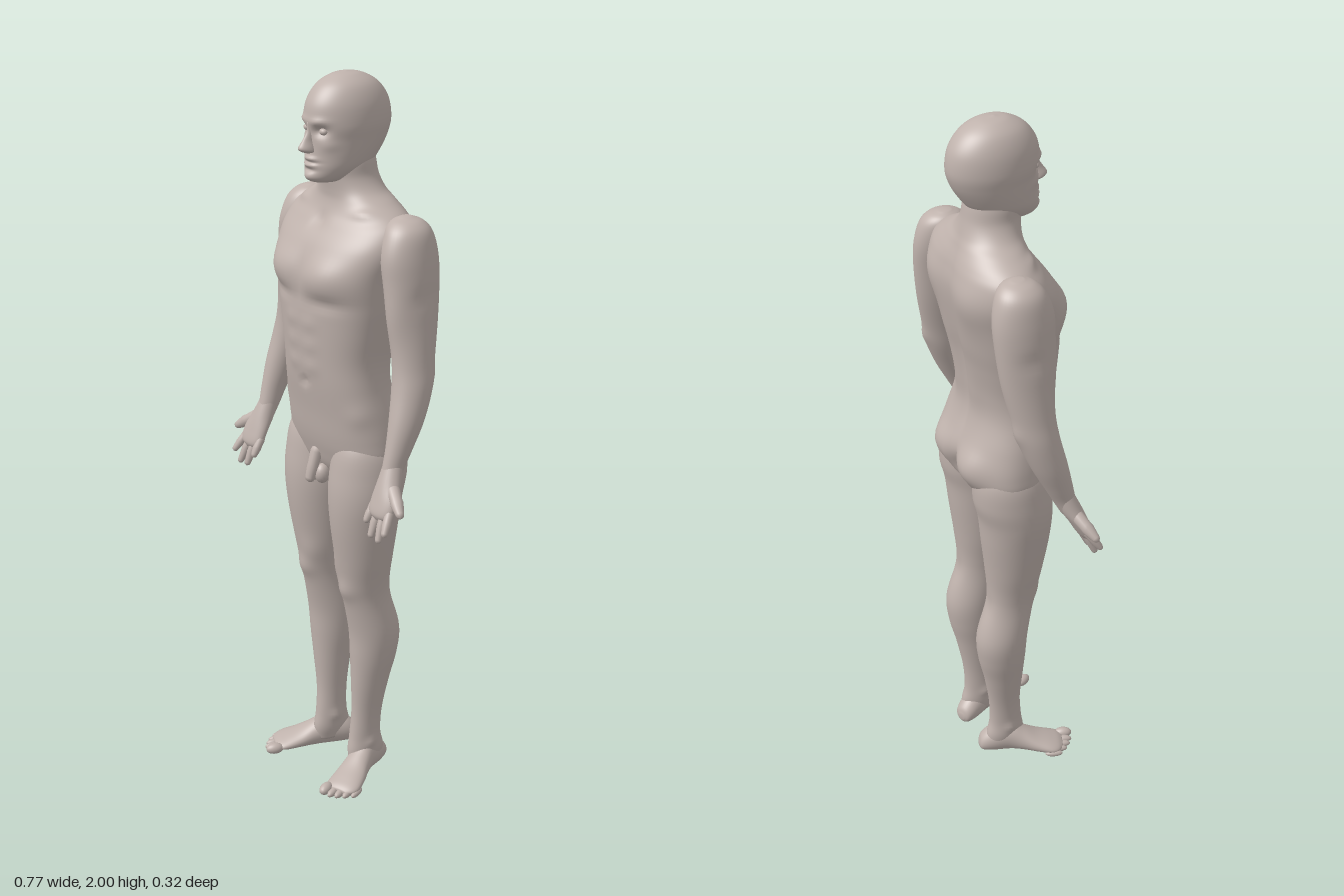
import * as THREE from 'three';

const skin = new THREE.MeshStandardMaterial({ color: 0xbfb2ac });
skin.name = 'skin';

// Closed body through horizontal rings: [y, centreX, halfWidth, frontZ, backZ, squareness]
function loft(rings, rows = 60, seg = 40) {
  const r = [...rings].sort((p, q) => p[0] - q[0]);
  const A = new THREE.CatmullRomCurve3(r.map(p => new THREE.Vector3(p[0], p[1], p[2])), false, 'catmullrom', 0.5);
  const B = new THREE.CatmullRomCurve3(r.map(p => new THREE.Vector3(p[3], p[4], p[5] || 2)), false, 'catmullrom', 0.5);
  const pos = [], idx = [];
  const bend = (v, n) => Math.sign(v) * Math.abs(v) ** (2 / n);
  for (let i = 0; i <= rows; i++) {
    const a = A.getPoint(i / rows), b = B.getPoint(i / rows);
    for (let j = 0; j < seg; j++) {
      const t = j / seg * Math.PI * 2;
      pos.push(a.y + a.z * bend(Math.cos(t), b.z), a.x, (b.x + b.y) / 2 + (b.x - b.y) / 2 * bend(Math.sin(t), b.z));
      if (i < rows) {
        const p = i * seg + j, q = i * seg + (j + 1) % seg;
        idx.push(p, p + seg, q, q, p + seg, q + seg);
      }
    }
  }
  // end caps
  const low = pos.length / 3, top = rows * seg;
  for (const e of [r[0], r[r.length - 1]]) pos.push(e[1], e[0], (e[3] + e[4]) / 2);
  for (let j = 0; j < seg; j++) {
    const k = (j + 1) % seg;
    idx.push(low, j, k, low + 1, top + k, top + j);
  }
  const g = new THREE.BufferGeometry();
  g.setAttribute('position', new THREE.Float32BufferAttribute(pos, 3));
  g.setIndex(idx);
  g.computeVertexNormals();
  return g;
}

// Soft bumps pushed along the normals: [x, y, z, radius, radiusY, amount], optionally mirrored in x
function sculpt(g, bumps, mirror = false) {
  const p = g.attributes.position, n = g.attributes.normal;
  const all = bumps.flatMap(b => (mirror && b[0] ? [b, [-b[0], ...b.slice(1)]] : [b]));
  for (let i = 0; i < p.count; i++) {
    let d = 0;
    for (const [x, y, z, r, ry, amt] of all) {
      const q = ((p.getX(i) - x) / r) ** 2 + ((p.getY(i) - y) / ry) ** 2 + ((p.getZ(i) - z) / (r * 1.5)) ** 2;
      d += amt * Math.exp(-q);
    }
    p.setXYZ(i, p.getX(i) + n.getX(i) * d, p.getY(i) + n.getY(i) * d, p.getZ(i) + n.getZ(i) * d);
  }
  g.computeVertexNormals();
  return g;
}

function add(parent, name, geo) {
  const m = new THREE.Mesh(geo, skin);
  m.name = name;
  parent.add(m);
  return m;
}

function ball(parent, name, x, y, z, rx, ry, rz) {
  const m = add(parent, name, new THREE.SphereGeometry(1, 18, 12));
  m.position.set(x, y, z);
  m.scale.set(rx, ry, rz);
  return m;
}

// Tapered rounded finger from a to b
function finger(parent, name, a, b, ra, rb) {
  const from = new THREE.Vector3(...a), dir = new THREE.Vector3(...b).sub(from), len = dir.length();
  const prof = [[0, -ra], [ra * 0.8, -ra * 0.6], [ra, 0], [ra * 0.92, len * 0.4], [ra * 0.97, len * 0.5],
    [rb, len - rb], [rb * 0.75, len - rb * 0.35], [0, len]];
  const m = add(parent, name, new THREE.LatheGeometry(prof.map(p => new THREE.Vector2(...p)), 14));
  m.position.copy(from);
  m.quaternion.setFromUnitVectors(new THREE.Vector3(0, 1, 0), dir.normalize());
}

function makeArm() {
  const g = new THREE.Group();
  add(g, 'arm', sculpt(loft([
    [1.665, 0.2, 0.012, -0.045, -0.075], [1.652, 0.205, 0.04, -0.015, -0.105], [1.625, 0.213, 0.055, 0.008, -0.125],
    [1.57, 0.222, 0.058, 0.025, -0.137], [1.5, 0.232, 0.054, 0.024, -0.136], [1.4, 0.243, 0.05, 0.017, -0.125],
    [1.3, 0.258, 0.047, 0.014, -0.105], [1.23, 0.269, 0.048, 0.022, -0.09], [1.15, 0.28, 0.041, 0.04, -0.058],
    [1.08, 0.284, 0.031, 0.055, -0.022], [1.03, 0.284, 0.026, 0.066, 0.004], [0.99, 0.288, 0.026, 0.075, 0.025]]),
  [[0.25, 1.42, 0.02, 0.035, 0.06, 0.005], [0.27, 1.26, -0.09, 0.02, 0.025, 0.005], [0.3, 1.47, -0.06, 0.03, 0.025, -0.005]]));
  add(g, 'palm', loft([
    [1.05, 0.283, 0.024, 0.058, 0.006], [1.0, 0.29, 0.034, 0.08, 0.022], [0.96, 0.297, 0.044, 0.095, 0.045],
    [0.925, 0.298, 0.043, 0.105, 0.064], [0.908, 0.297, 0.03, 0.1, 0.075]], 20, 28));
  const tips = [[0.35, 0.88, 0.115], [0.323, 0.852, 0.113], [0.289, 0.855, 0.112], [0.262, 0.887, 0.108]];
  tips.forEach((t, i) => finger(g, 'finger', [0.33 - i * 0.022, 0.935, 0.08], t, 0.0125, 0.009));
  finger(g, 'thumb', [0.315, 0.985, 0.058], [0.383, 0.938, 0.085], 0.018, 0.011);
  return g;
}

function makeLeg() {
  const g = new THREE.Group();
  add(g, 'leg', sculpt(loft([
    [1.1, 0.09, 0.05, 0.03, -0.08], [1.03, 0.1, 0.088, 0.07, -0.125], [0.95, 0.102, 0.098, 0.085, -0.13],
    [0.88, 0.102, 0.097, 0.09, -0.115], [0.8, 0.1, 0.088, 0.085, -0.107], [0.7, 0.097, 0.075, 0.07, -0.096],
    [0.62, 0.095, 0.062, 0.056, -0.09], [0.56, 0.095, 0.058, 0.044, -0.097], [0.46, 0.097, 0.065, 0.025, -0.123],
    [0.38, 0.095, 0.06, 0.02, -0.118], [0.3, 0.091, 0.048, 0.016, -0.1], [0.2, 0.085, 0.036, 0.012, -0.083],
    [0.12, 0.082, 0.034, 0.018, -0.08], [0.07, 0.083, 0.035, 0.025, -0.09], [0.03, 0.084, 0.028, 0.02, -0.09]], 80),
  [[0.095, 0.6, 0.055, 0.03, 0.03, 0.008], [0.06, 0.66, 0.05, 0.025, 0.04, 0.005], [0.095, 0.57, -0.1, 0.02, 0.04, -0.006],
    [0.12, 0.1, -0.03, 0.012, 0.014, 0.006], [0.048, 0.11, -0.025, 0.012, 0.014, 0.006]]));
  // foot, turned outwards from the ankle
  const foot = new THREE.Group();
  foot.name = 'foot';
  foot.position.set(0.085, 0, -0.04);
  foot.rotation.y = 0.38;
  g.add(foot);
  add(foot, 'footBody', loft([
    [-0.072, 0, 0.01, -0.018, -0.038], [-0.062, 0, 0.026, -0.004, -0.06], [-0.03, 0, 0.034, 0, -0.085],
    [0.02, 0, 0.034, 0, -0.096], [0.06, 0.003, 0.038, 0, -0.076], [0.1, 0.007, 0.045, 0, -0.055],
    [0.14, 0.01, 0.049, 0, -0.04], [0.162, 0.008, 0.044, -0.003, -0.031], [0.176, 0.004, 0.03, -0.008, -0.022]], 40, 32)
    .rotateX(Math.PI / 2));
  for (let i = 0; i < 5; i++) {
    const r = i ? 0.0115 - i * 0.0005 : 0.016;
    ball(foot, 'toe', -0.026 + i * 0.019 + (i ? 0.003 : 0), r, 0.182 - i * i * 0.0022, r, r, 0.026);
  }
  return g;
}

export function createModel() {
  const model = new THREE.Group();
  model.name = 'figure';

  const torso = loft([
    [0.9, 0, 0.09, 0.02, -0.06], [0.95, 0, 0.155, 0.06, -0.11, 2.2], [1.0, 0, 0.188, 0.078, -0.135, 2.3],
    [1.05, 0, 0.19, 0.09, -0.142, 2.3], [1.12, 0, 0.182, 0.1, -0.127, 2.3], [1.2, 0, 0.169, 0.113, -0.105, 2.3],
    [1.27, 0, 0.166, 0.12, -0.108, 2.3], [1.35, 0, 0.178, 0.125, -0.122, 2.3], [1.42, 0, 0.19, 0.128, -0.138, 2.3],
    [1.5, 0, 0.2, 0.13, -0.15, 2.4], [1.57, 0, 0.215, 0.103, -0.155, 2.4], [1.62, 0, 0.213, 0.07, -0.15, 2.2],
    [1.65, 0, 0.19, 0.05, -0.143], [1.68, 0, 0.14, 0.04, -0.13], [1.705, 0, 0.1, 0.04, -0.118],
    [1.74, 0, 0.076, 0.045, -0.107], [1.78, 0, 0.07, 0.05, -0.1], [1.82, 0, 0.06, 0.04, -0.09]], 110, 72);
  const bumps = [
    [0.09, 1.5, 0.13, 0.065, 0.05, 0.014], [0.09, 1.435, 0.12, 0.06, 0.018, -0.007], [0, 1.5, 0.13, 0.018, 0.06, -0.01],
    [0.08, 1.05, -0.14, 0.055, 0.055, 0.022], [0, 1.0, -0.14, 0.018, 0.06, -0.03], [0, 1.2, 0.115, 0.012, 0.012, -0.01],
    [0.1, 1.56, -0.15, 0.06, 0.07, 0.012], [0.04, 1.25, -0.1, 0.03, 0.1, 0.006], [0.13, 1.66, 0.03, 0.03, 0.012, 0.006],
    [0, 1.63, 0.07, 0.02, 0.02, -0.008], [0.16, 1.13, 0.06, 0.03, 0.03, 0.004]];
  for (let y = 1.16; y < 1.68; y += 0.08) bumps.push([0, y, -0.13, 0.024, 0.06, -0.01]);
  for (let y = 1.25; y < 1.42; y += 0.06) bumps.push([0.035, y, 0.12, 0.025, 0.022, 0.004]);
  add(model, 'torso', sculpt(torso, bumps, true));

  const head = loft([
    [2.0, 0, 0.002, -0.018, -0.024], [1.993, 0, 0.034, 0.02, -0.066], [1.97, 0, 0.065, 0.06, -0.108],
    [1.93, 0, 0.084, 0.088, -0.138], [1.88, 0, 0.09, 0.096, -0.147], [1.84, 0, 0.085, 0.092, -0.138],
    [1.8, 0, 0.078, 0.093, -0.115], [1.77, 0, 0.069, 0.096, -0.09], [1.745, 0, 0.052, 0.096, -0.05],
    [1.733, 0, 0.036, 0.085, -0.02], [1.726, 0, 0.01, 0.055, 0.02]], 90, 72);
  add(model, 'head', sculpt(head, [
    [0.035, 1.864, 0.085, 0.018, 0.013, -0.016], [0.03, 1.888, 0.09, 0.025, 0.009, 0.005],
    [0.05, 1.83, 0.07, 0.02, 0.015, 0.003], [0, 1.793, 0.095, 0.022, 0.006, 0.007], [0, 1.784, 0.095, 0.025, 0.003, -0.005],
    [0, 1.776, 0.095, 0.02, 0.005, 0.006], [0, 1.764, 0.095, 0.02, 0.005, -0.005], [0, 1.748, 0.095, 0.02, 0.01, 0.006]], true));
  add(model, 'nose', loft([
    [1.885, 0, 0.007, 0.098, 0.07], [1.862, 0, 0.008, 0.1, 0.07], [1.84, 0, 0.01, 0.113, 0.07],
    [1.822, 0, 0.016, 0.125, 0.07], [1.813, 0, 0.017, 0.118, 0.07], [1.808, 0, 0.01, 0.105, 0.075]], 24, 24));

  // paired parts: built for the left, mirrored for the right
  for (const side of [1, -1]) {
    const half = new THREE.Group();
    half.name = side > 0 ? 'leftSide' : 'rightSide';
    half.scale.x = side;
    const arm = makeArm(), leg = makeLeg();
    arm.name = 'armGroup';
    leg.name = 'legGroup';
    half.add(arm, leg);
    ball(half, 'eye', 0.034, 1.864, 0.073, 0.012, 0.009, 0.01);
    ball(half, 'groinBase', 0.014, 0.928, 0.066, 0.02, 0.028, 0.022);
    model.add(half);
  }
  finger(model, 'groin', [0, 0.99, 0.075], [0, 0.905, 0.1], 0.017, 0.014);
  return model;
}
